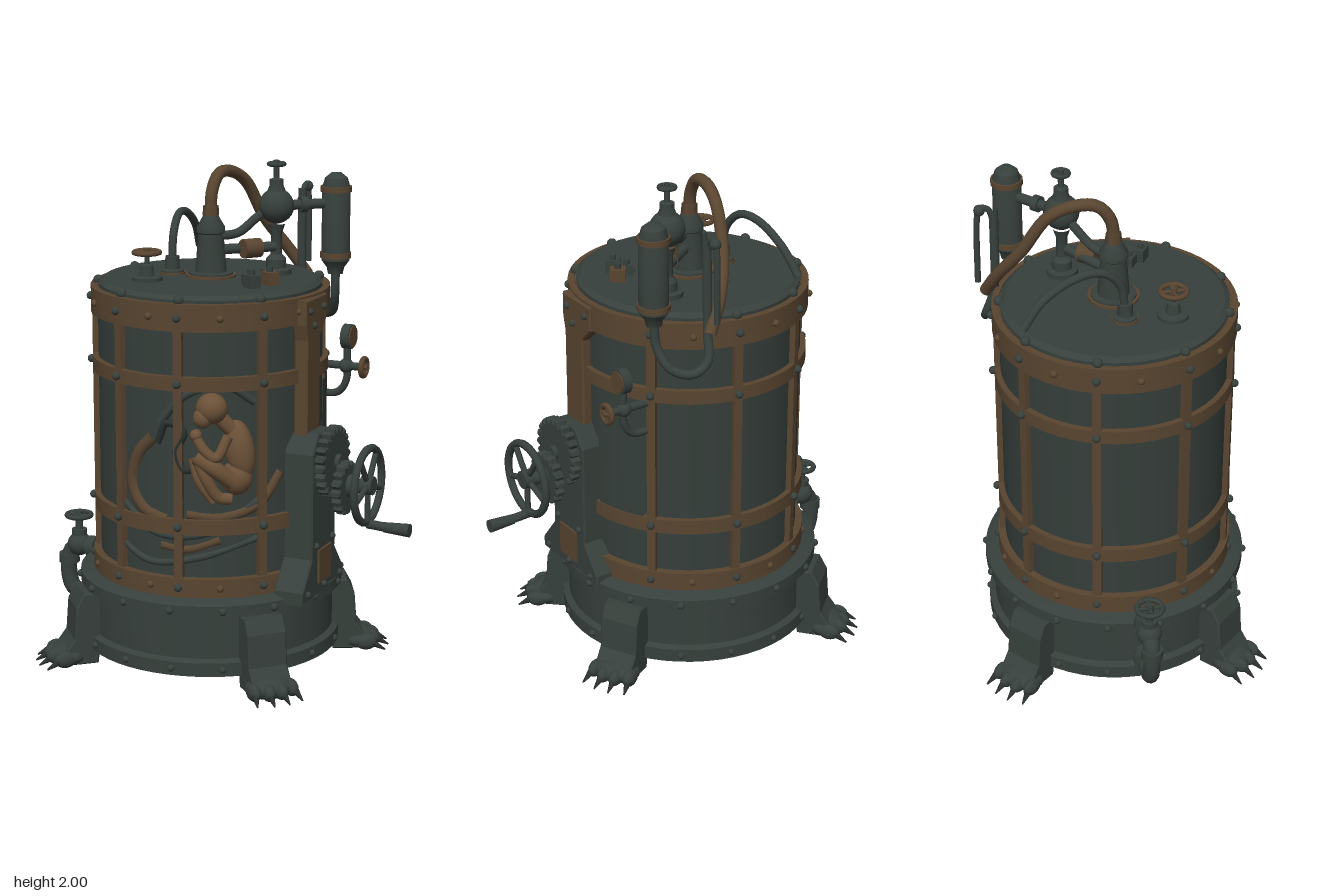
import * as THREE from 'three';
import { toCreasedNormals } from 'three/addons/utils/BufferGeometryUtils.js';

const material = (name, color, side = THREE.FrontSide) => {
  const m = new THREE.MeshStandardMaterial({ color, side });
  m.name = name;
  return m;
};
const iron = material('dark green iron', 0x37403c);
const shade = material('shadowed iron', 0x2a302d);
const brass = material('aged brass', 0x594530);
const flesh = material('tan flesh', 0x6b5138);
const sheet = material('glass sheet', 0x353e3a, THREE.DoubleSide);

const CX = -0.1, CZ = 0.015, R = 0.445, rad = THREE.MathUtils.degToRad;
const V = (x, y, z) => new THREE.Vector3(x, y, z);
const UP = V(0, 1, 0);
// Point on the tank, by angle from the front towards +x
const around = (deg, r, y) => V(CX + Math.sin(rad(deg)) * r, y, CZ + Math.cos(rad(deg)) * r);
// Point on the front wall, by x and y
const onWall = (x, y, out = 0) => V(x, y, CZ + Math.sqrt(R * R - (x - CX) ** 2) + out);

export function createModel() {
  const model = new THREE.Group();
  model.name = 'boilerTank';
  let parent = model;

  const add = (name, geo, mat, pos) => {
    const m = new THREE.Mesh(geo, mat);
    m.name = name;
    if (pos) m.position.copy(pos);
    parent.add(m);
    return m;
  };
  const group = (name, pos, build) => {
    const g = new THREE.Group(), outer = parent;
    g.name = name;
    g.position.copy(pos);
    outer.add(g);
    parent = g;
    build();
    parent = outer;
    return g;
  };
  // Straight round bar between two points
  const bar = (name, a, b, r0, mat = iron, r1 = r0, seg = 16) => {
    const d = b.clone().sub(a);
    const m = add(name, new THREE.CylinderGeometry(r1, r0, d.length(), seg), mat, a.clone().lerp(b, 0.5));
    m.quaternion.setFromUnitVectors(UP, d.normalize());
    return m;
  };
  const ball = (name, p, sx, mat = iron, sy = sx, sz = sx) => {
    const m = add(name, new THREE.SphereGeometry(1, 18, 12), mat, p);
    m.scale.set(sx, sy, sz);
    return m;
  };
  const pipe = (name, pts, r, mat = iron) =>
    add(name, new THREE.TubeGeometry(new THREE.CatmullRomCurve3(pts, false, 'centripetal'), 36, r, 12), mat);
  const turned = (name, pts, mat, pos = V(CX, 0, CZ), seg = 56) =>
    add(name, toCreasedNormals(new THREE.LatheGeometry(pts.map(p => new THREE.Vector2(...p)), seg), 0.6), mat, pos);
  const ring = (name, r0, r1, y0, y1, mat) =>
    turned(name, [[r0, y0], [r1, y0], [r1, y1], [r0, y1]], mat);
  const extrude = (name, pts, depth, mat) => {
    const g = new THREE.ExtrudeGeometry(new THREE.Shape(pts.map(p => new THREE.Vector2(...p))),
      { depth, bevelEnabled: true, bevelSize: 0.006, bevelThickness: 0.006, bevelSegments: 1 });
    return add(name, g, mat);
  };
  // Spoked wheel lying flat, axis along y
  const handwheel = (name, pos, r, t, spokes, mat) => group(name, pos, () => {
    add('rim', new THREE.TorusGeometry(r, t, 8, 32), mat).rotation.x = Math.PI / 2;
    add('hub', new THREE.CylinderGeometry(r * 0.25, r * 0.25, t * 3, 14), mat);
    for (let i = 0; i < spokes; i++) {
      const a = i / spokes * Math.PI * 2;
      bar('spoke', V(0, 0, 0), V(Math.cos(a) * r, 0, Math.sin(a) * r), t * 0.75, mat, t * 0.75, 8);
    }
  });

  // Base drum
  turned('baseDrum', [[0, 0.07], [0.52, 0.07], [0.52, 0.125], [0.495, 0.135], [0.495, 0.31], [0.53, 0.315],
    [0.53, 0.36], [0.5, 0.375], [0, 0.375]], iron);
  for (let i = 0; i < 16; i++) {
    ball('baseBolt', around(i * 22.5 + 8, 0.53, 0.338), 0.015);
    ball('baseBolt', around(i * 22.5 + 8, 0.52, 0.098), 0.014);
  }

  // Tank wall and lid
  turned('tankWall', [[R, 0.37], [R, 1.53]], sheet);
  turned('lid', [[0.44, 1.515], [0.44, 1.535], [0.42, 1.55], [0, 1.55]], iron);
  const panel = add('sidePanel', new THREE.CylinderGeometry(R + 0.018, R + 0.018, 0.53, 10, 1, true, rad(97), rad(27)), sheet, V(CX, 0.9, CZ));
  panel.name = 'sidePanel';

  // Brass hoops, uprights and rivets
  ring('bottomHoop', 0.44, 0.475, 0.375, 0.45, brass);
  ring('lowerHoop', 0.44, 0.468, 0.625, 0.685, brass);
  ring('upperHoop', 0.44, 0.468, 1.19, 1.245, brass);
  ring('topHoop', 0.41, 0.472, 1.42, 1.525, brass);
  const uprights = [10, 51, -24, -66, -110, -150, 170, 128];
  for (const a of uprights) {
    const m = add('upright', new THREE.BoxGeometry(0.035, 1.1, 0.025), brass, around(a, 0.455, 0.96));
    m.rotation.y = rad(a);
    for (const y of [0.413, 0.655, 1.217, 1.472]) ball('rivet', around(a, 0.474, y), 0.016, iron);
    for (const y of [0.413, 1.472]) ball('rivet', around(a + 20, 0.474, y), 0.014, brass);
    ball('lidBolt', around(a, 0.443, 1.535), 0.02, iron);
  }

  // Clawed legs
  for (const a of [47.5, -48, -140, 117.7]) {
    group('leg', V(CX, 0, CZ), () => {
      extrude('shin', [[0.44, 0.14], [0.49, 0.1], [0.5, 0.02], [0.63, 0.02], [0.63, 0.06], [0.585, 0.12],
        [0.575, 0.25], [0.545, 0.305], [0.44, 0.305]], 0.15, iron).position.z = -0.075;
      ball('paw', V(0.6, 0.045, 0), 0.075, iron, 0.045, 0.1);
      for (let i = -1.5; i < 2; i++) {
        const reach = 0.66 - Math.abs(i) * 0.02, z = i * 0.052;
        ball('toe', V(reach, 0.042, z), 0.045, iron, 0.034, 0.026);
        bar('claw', V(reach + 0.02, 0.042, z * 1.05), V(reach + 0.078, 0.012, z * 1.2), 0.017, shade, 0.003, 8);
      }
    }).rotation.y = rad(a - 90);
  }

  // Brass strip and bearing plate on the side
  const sidePlate = (name, pts, x, depth, mat) => {
    const m = extrude(name, pts.map(([z, y]) => [-z, y]), depth, mat);
    m.rotation.y = Math.PI / 2;
    m.position.x = x;
  };
  sidePlate('sideStrip', [[0.17, 1.51], [0.17, 1.42], [0.155, 1.36], [0.155, 0.95], [0.04, 0.95], [0.04, 1.36],
    [-0.02, 1.42], [-0.02, 1.51]], 0.33, 0.045, brass);
  sidePlate('bearingPlate', [[0.29, 0.35], [0.29, 0.39], [0.2, 0.5], [0.2, 0.92], [0.15, 0.99], [0.03, 0.99],
    [-0.02, 0.92], [-0.02, 0.5], [-0.11, 0.39], [-0.11, 0.35]], 0.31, 0.11, iron);
  add('brassBadge', new THREE.BoxGeometry(0.009, 0.135, 0.12), brass, V(0.43, 0.46, 0.09));
  for (const [z, y] of [[0.25, 0.375], [-0.07, 0.375], [0.09, 0.375], [0.17, 0.55], [0.01, 0.55]])
    ball('plateBolt', V(0.428, y, z), 0.014);
  for (const [z, y] of [[0.14, 1.47], [0.01, 1.47], [0.1, 1.41]]) ball('stripBolt', V(0.382, y, z), 0.014);

  // Gear train
  const gear = (x, y, r, teeth, depth) => {
    const pts = [];
    for (let i = 0; i < teeth * 4; i++) {
      const a = i / teeth / 4 * Math.PI * 2, q = i % 4 < 2 ? r : r * 0.86;
      pts.push([Math.cos(a) * q, Math.sin(a) * q]);
    }
    const m = extrude('gear', pts, depth, iron);
    m.rotation.y = Math.PI / 2;
    m.position.set(x, y, 0.095);
  };
  gear(0.445, 0.88, 0.135, 22, 0.03);
  gear(0.5, 0.78, 0.1, 16, 0.028);
  bar('gearAxle', V(0.4, 0.88, 0.095), V(0.5, 0.88, 0.095), 0.03);
  bar('crankAxle', V(0.4, 0.79, 0.095), V(0.63, 0.79, 0.095), 0.026);
  bar('axleCollar', V(0.53, 0.79, 0.095), V(0.56, 0.79, 0.095), 0.045);

  // Crank wheel and handle
  handwheel('crankWheel', V(0.61, 0.8, 0.095), 0.145, 0.016, 5, iron).rotation.z = -Math.PI / 2;
  bar('handleStem', V(0.61, 0.645, 0.095), V(0.7, 0.64, 0.095), 0.018);
  bar('handleGrip', V(0.68, 0.64, 0.095), V(0.785, 0.64, 0.095), 0.02, iron, 0.026);

  // Drain pipe and tap
  pipe('drainPipe', [V(-0.56, 0.36, 0.03), V(-0.68, 0.365, 0.03), V(-0.735, 0.35, 0.03), V(-0.755, 0.3, 0.03),
    V(-0.755, 0.22, 0.03), V(-0.735, 0.175, 0.03), V(-0.69, 0.165, 0.03), V(-0.58, 0.18, 0.03)], 0.034);
  bar('pipeCollar', V(-0.755, 0.285, 0.03), V(-0.755, 0.325, 0.03), 0.043);
  for (const [x, y] of [[-0.64, 0.365], [-0.64, 0.172]]) bar('pipeCollar', V(x - 0.018, y, 0.03), V(x + 0.018, y, 0.03), 0.045);
  ball('tapBody', V(-0.705, 0.37, 0.03), 0.05);
  bar('tapStem', V(-0.705, 0.38, 0.03), V(-0.705, 0.51, 0.03), 0.016);
  bar('tapCollar', V(-0.705, 0.41, 0.03), V(-0.705, 0.435, 0.03), 0.032);
  handwheel('tapWheel', V(-0.705, 0.495, 0.03), 0.05, 0.011, 4, iron);

  // Central column with brass pipe to the rear
  const Y = 1.55;
  turned('column', [[0.088, 0], [0.088, 0.018], [0.062, 0.02], [0.05, 0.17], [0.056, 0.175], [0.056, 0.195],
    [0.03, 0.24], [0, 0.24]], iron, V(-0.1, Y, 0.01), 24);
  turned('columnPlate', [[0.06, 0], [0.1, 0], [0.1, 0.01], [0.06, 0.01]], brass, V(-0.1, Y, 0.01), 24);
  pipe('brassPipe', [V(-0.1, 1.75, 0.01), V(-0.1, 1.88, 0), V(-0.095, 1.945, -0.05), V(-0.085, 1.95, -0.13),
    V(-0.06, 1.9, -0.23), V(-0.02, 1.74, -0.33), V(0.05, 1.61, -0.41), V(0.12, 1.5, -0.45)], 0.024, brass);
  bar('pipeNut', V(-0.1, 1.79, 0.01), V(-0.1, 1.83, 0.008), 0.033, brass, 0.03, 6);

  // Arched pipe
  turned('archFlange', [[0.047, 0], [0.047, 0.015], [0.03, 0.02], [0.028, 0.07], [0, 0.07]], iron, V(-0.265, Y, 0.02), 20);
  turned('archFlangeRing', [[0.03, 0], [0.052, 0], [0.052, 0.008], [0.03, 0.008]], brass, V(-0.265, Y, 0.02), 20);
  pipe('archedPipe', [V(-0.265, 1.58, 0.02), V(-0.27, 1.7, 0), V(-0.283, 1.77, -0.07), V(-0.3, 1.77, -0.17),
    V(-0.32, 1.7, -0.3), V(-0.34, 1.6, -0.38)], 0.016);

  // Lid valve
  turned('valveSeat', [[0.06, 0], [0.06, 0.015], [0.03, 0.02], [0.024, 0.06], [0.01, 0.065], [0.01, 0.12]], iron, V(-0.285, Y, 0.2), 20);
  handwheel('valveWheel', V(-0.285, 1.66, 0.2), 0.05, 0.01, 4, brass);

  // Globe valve and condenser
  turned('globeStand', [[0.062, 0], [0.062, 0.02], [0.04, 0.025], [0.04, 0.06], [0.022, 0.08], [0.022, 0.16], [0.035, 0.2]], iron, V(0.11, Y, -0.15), 20);
  ball('globe', V(0.11, 1.82, -0.15), 0.07);
  turned('globeNeck', [[0.04, 1.87], [0.028, 1.9], [0.028, 1.925], [0.012, 1.93], [0.012, 2], [0, 2]], iron, V(0.11, 0, -0.15), 16);
  handwheel('globeWheel', V(0.11, 1.985, -0.15), 0.03, 0.009, 4, iron);
  bar('linkPipe', V(0.11, 1.82, -0.15), V(0.29, 1.82, -0.33), 0.02);
  bar('linkCollar', V(0.18, 1.82, -0.22), V(0.2, 1.82, -0.24), 0.032);
  pipe('columnLink', [V(-0.08, 1.71, 0.01), V(-0.01, 1.72, -0.05), V(0.05, 1.78, -0.11), V(0.11, 1.82, -0.15)], 0.018);
  bar('sightBody', V(-0.08, 1.655, 0), V(0.11, 1.66, -0.14), 0.02);
  bar('sightBarrel', V(0.02, 1.66, -0.03), V(0.065, 1.66, -0.09), 0.038, brass);
  turned('condenser', [[0, 1.53], [0.03, 1.535], [0.035, 1.56], [0.057, 1.59], [0.057, 1.88], [0.045, 1.92],
    [0.02, 1.94], [0, 1.942]], iron, V(0.29, 0, -0.33), 24);
  for (const y of [1.6, 1.865]) turned('condenserBand', [[0.05, y], [0.063, y], [0.063, y + 0.022], [0.05, y + 0.022]], brass, V(0.29, 0, -0.33), 24);
  pipe('returnPipe', [V(0.29, 1.56, -0.33), V(0.285, 1.45, -0.34), V(0.255, 1.37, -0.39), V(0.19, 1.35, -0.44),
    V(0.13, 1.39, -0.45), V(0.11, 1.5, -0.42), V(0.11, 1.86, -0.41)], 0.018);
  pipe('hookPipe', [V(0.11, 1.78, -0.41), V(0.11, 1.86, -0.43), V(0.11, 1.87, -0.465), V(0.11, 1.82, -0.475), V(0.11, 1.55, -0.48)], 0.012);
  ball('hookKnob', V(0.11, 1.86, -0.465), 0.022);

  // Small lid blocks
  for (const [x, z, h, mat] of [[0.185, 0.08, 0.05, brass], [0.12, 0.12, 0.04, iron], [0.15, 0.17, 0.05, iron]]) {
    add('lidBlock', new THREE.BoxGeometry(0.06, h, 0.045), mat, V(x, Y + h / 2, z)).rotation.y = -0.6;
    bar('lidPeg', V(x, Y, z), V(x, Y + h + 0.02, z), 0.012);
  }

  // Gauge and side tap
  pipe('gaugePipe', [V(0.26, 1.06, -0.25), V(0.34, 1.07, -0.25), V(0.375, 1.12, -0.25), V(0.375, 1.3, -0.25)], 0.015);
  bar('sideTapBody', V(0.27, 1.18, -0.25), V(0.45, 1.18, -0.25), 0.016);
  ball('sideTapKnuckle', V(0.375, 1.18, -0.25), 0.03);
  bar('gaugeCase', V(0.365, 1.3, -0.25), V(0.4, 1.3, -0.25), 0.05, iron);
  bar('gaugeFace', V(0.399, 1.3, -0.25), V(0.405, 1.3, -0.25), 0.043, brass);
  handwheel('sideTapWheel', V(0.45, 1.18, -0.25), 0.035, 0.011, 4, brass).rotation.z = -Math.PI / 2;

  // Curled figure set in the front wall
  const limb = (name, pts, r, mat = flesh) => pipe(name, pts.map(p => onWall(...p)), r, mat);
  group('curledFigure', V(0, 0, 0), () => {
    ball('head', onWall(0.1, 1.125, 0.01), 0.062, flesh, 0.06, 0.058);
    ball('face', onWall(0.075, 1.09, 0.025), 0.038, flesh, 0.04, 0.035);
    const back = ball('torso', onWall(0.185, 0.96, 0), 0.06, flesh, 0.12, 0.055);
    back.rotation.z = 0.2;
    ball('hips', onWall(0.175, 0.85, 0), 0.065, flesh, 0.07, 0.055);
    limb('neck', [[0.12, 1.09, 0], [0.16, 1.04, 0]], 0.03);
    limb('arm', [[0.165, 1.02, 0.04], [0.13, 0.94, 0.055], [0.09, 0.97, 0.05], [0.055, 1.02, 0.035]], 0.02);
    limb('thigh', [[0.18, 0.84, 0.04], [0.12, 0.9, 0.05], [0.055, 0.94, 0.03]], 0.032);
    limb('calf', [[0.055, 0.94, 0.03], [0.09, 0.86, 0.04], [0.13, 0.78, 0.03], [0.17, 0.77, 0.03]], 0.023);
    limb('farLeg', [[0.03, 0.93, 0], [0.06, 0.84, 0.015], [0.11, 0.76, 0.015]], 0.022);
    ball('hand', onWall(0.055, 1.025, 0.035), 0.024, flesh);
    limb('cord', [[0.06, 0.9, 0.01], [0, 0.88, 0.01], [-0.03, 0.95, 0.01], [0, 1.03, 0.01], [-0.07, 1.06, 0.005], [-0.11, 0.98, 0]], 0.014, shade);
  });

  // Folds of the membrane round the figure
  limb('outerFold', [[0.23, 1.14, 0], [0.14, 1.21, 0], [0, 1.17, 0], [-0.1, 1.06, 0]], 0.016, iron);
  limb('lowerFold', [[-0.28, 0.72, 0], [-0.12, 0.62, 0], [0.08, 0.63, 0], [0.25, 0.76, 0]], 0.016, iron);
  limb('bottomFold', [[-0.3, 0.56, 0], [-0.15, 0.5, 0], [0.05, 0.53, 0], [0.24, 0.6, 0]], 0.014, iron);
  limb('brassFold', [[-0.13, 1, -0.012], [-0.2, 0.92, -0.012], [-0.23, 0.8, -0.012], [-0.18, 0.71, -0.012], [-0.08, 0.67, -0.012]], 0.028, brass);
  limb('tanFold', [[0.29, 0.85, -0.012], [0.24, 0.74, -0.012], [0.13, 0.69, -0.012], [0, 0.7, -0.012]], 0.022, brass);
  limb('lowTanFold', [[-0.1, 0.57, -0.012], [0, 0.56, -0.012], [0.12, 0.6, -0.012]], 0.02, brass);
  return model;
}
